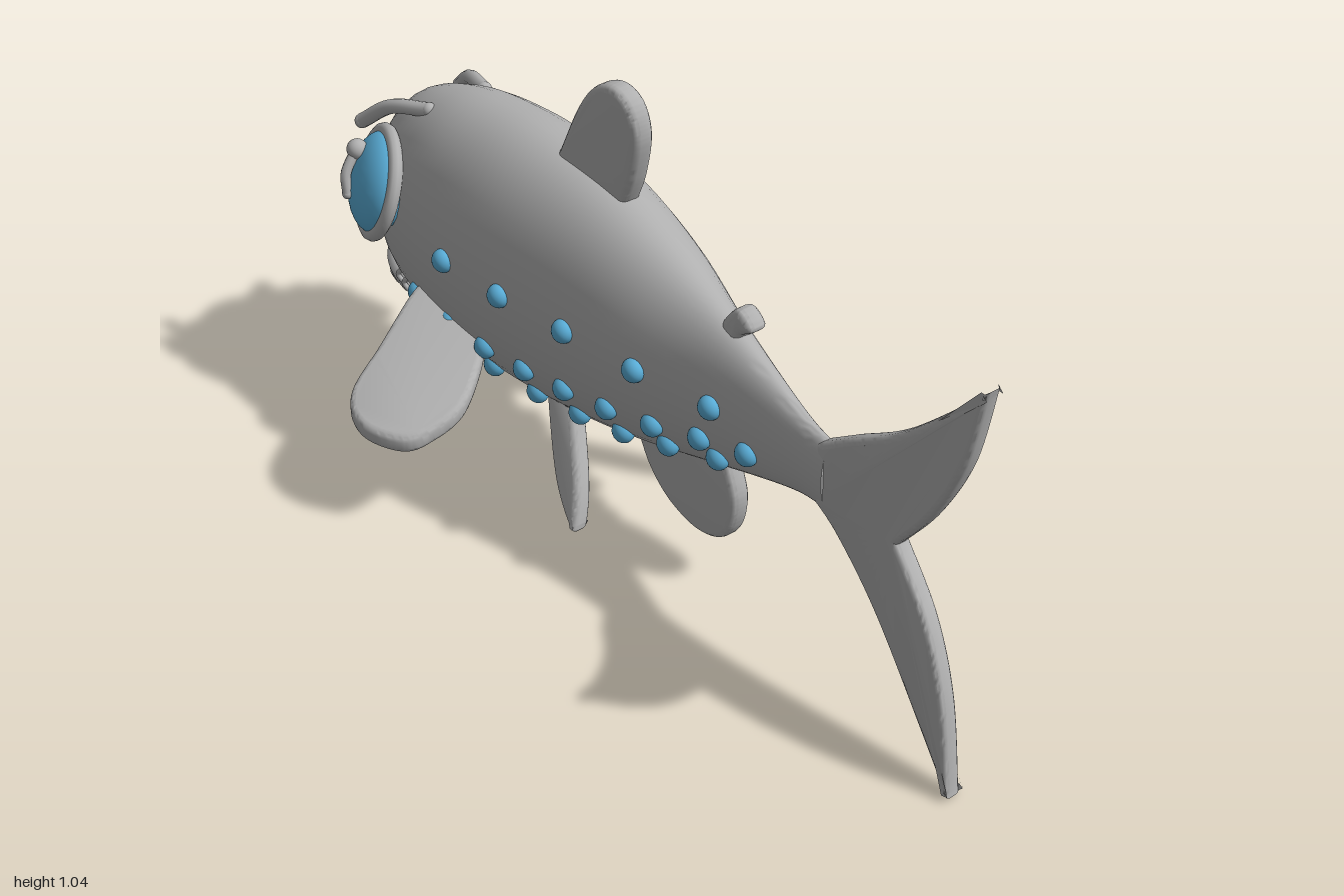
import * as THREE from 'three';
import { toCreasedNormals } from 'three/addons/utils/BufferGeometryUtils.js';

const V = (x, y, z) => new THREE.Vector3(x, y, z);

// Body sections from nose to tail: z, top, bottom, half width, centre x
const sections = [
  [-1, 0.455, 0.445, 0.003, 0], [-0.985, 0.545, 0.39, 0.045, 0], [-0.945, 0.645, 0.30, 0.09, 0],
  [-0.85, 0.742, 0.24, 0.15, 0], [-0.71, 0.797, 0.205, 0.188, 0], [-0.56, 0.82, 0.188, 0.202, 0],
  [-0.4, 0.824, 0.185, 0.2, 0], [-0.2, 0.8, 0.205, 0.178, -0.002], [0, 0.745, 0.25, 0.142, -0.012],
  [0.2, 0.672, 0.308, 0.083, -0.024], [0.36, 0.61, 0.36, 0.05, -0.035], [0.47, 0.572, 0.392, 0.034, -0.044],
  [0.55, 0.56, 0.4, 0.027, -0.052]
];
const heights = new THREE.CatmullRomCurve3(sections.map(s => V(s[0], s[1], s[2])), false, 'catmullrom');
const widths = new THREE.CatmullRomCurve3(sections.map(s => V(s[3], s[4], 0)), false, 'catmullrom');

function sectionAt(t) {
  const a = heights.getPoint(t), b = widths.getPoint(t);
  return { z: a.x, cy: (a.y + a.z) / 2, h: (a.y - a.z) / 2, w: b.x, cx: b.y };
}

// Point on the body's side at a given height and length; s is +1 or -1
function onBody(s, y, z) {
  let lo = 0, hi = 1;
  for (let i = 0; i < 30; i++) {
    const mid = (lo + hi) / 2;
    if (sectionAt(mid).z < z) lo = mid; else hi = mid;
  }
  const q = sectionAt(lo), k = (y - q.cy) / q.h;
  return V(q.cx + s * q.w * Math.sqrt(Math.max(0, 1 - k * k)), y, z);
}

function bodyGeometry() {
  const rows = 60, sides = 40, pos = [], index = [];
  for (let i = 0; i <= rows + 1; i++) {
    const q = sectionAt(Math.min(1, i / rows));
    const f = i > rows ? 0.001 : 1;
    for (let j = 0; j < sides; j++) {
      const a = j / sides * Math.PI * 2;
      pos.push(q.cx + f * q.w * Math.cos(a), q.cy + f * q.h * Math.sin(a), q.z);
    }
  }
  for (let i = 0; i <= rows; i++) for (let j = 0; j < sides; j++) {
    const k = (j + 1) % sides, a = i * sides, b = a + sides;
    index.push(a + j, a + k, b + j, a + k, b + k, b + j);
  }
  const g = new THREE.BufferGeometry();
  g.setAttribute('position', new THREE.Float32BufferAttribute(pos, 3));
  g.setIndex(index);
  return toCreasedNormals(g, 0.9);
}

// Rounded slab from an outline; each vertex (a, b, depth) is placed by the rule
function finGeometry(outline, thick, place) {
  const shape = new THREE.Shape();
  shape.moveTo(...outline[0].slice(0, 2));
  // A third value of 1 marks a straight run to that point; others are splined
  let run = [];
  for (const p of outline.slice(1)) {
    run.push(new THREE.Vector2(p[0], p[1]));
    if (p[2]) { shape.splineThru(run); run = []; }
  }
  if (run.length) shape.splineThru(run);
  const bevel = thick * 0.3;
  const g = new THREE.ExtrudeGeometry(shape, {
    depth: thick - 2 * bevel, steps: 1, curveSegments: 14,
    bevelEnabled: true, bevelThickness: bevel, bevelSize: bevel, bevelOffset: -bevel, bevelSegments: 3
  });
  g.translate(0, 0, -(thick - 2 * bevel) / 2);
  const p = g.attributes.position;
  for (let i = 0; i < p.count; i++) p.setXYZ(i, ...place(p.getX(i), p.getY(i), p.getZ(i)));
  return toCreasedNormals(g, 0.7);
}

export function createModel() {
  const grey = new THREE.MeshStandardMaterial({ color: 0xb0b0b0 });
  grey.name = 'grey';
  const blue = new THREE.MeshStandardMaterial({ color: 0x5aaed8 });
  blue.name = 'blue';
  const model = new THREE.Group();
  model.name = 'fish';

  const add = (name, geometry, material = grey, parent = model) => {
    const mesh = new THREE.Mesh(geometry, material);
    mesh.name = name;
    parent.add(mesh);
    return mesh;
  };
  const ball = (name, at, size, material, parent) => {
    const m = add(name, new THREE.SphereGeometry(1, 20, 14), material, parent);
    m.position.copy(at);
    m.scale.set(...size);
    return m;
  };
  // Tube with round ends
  const rod = (name, points, r) => {
    add(name, new THREE.TubeGeometry(new THREE.CatmullRomCurve3(points), 24, r, 10));
    for (const p of [points[0], points[points.length - 1]]) ball(name + 'End', p, [r, r, r], grey);
  };

  add('body', bodyGeometry());

  // Fins on the centre line, outlined as (z, y)
  add('tailFin', finGeometry([
    [0.52, 0.55], [0.62, 0.62], [0.785, 0.735], [1, 0.942, 1], [0.96, 0.76], [0.88, 0.6], [0.785, 0.475, 1],
    [0.89, 0.36], [0.96, 0.21], [1, 0.008, 1], [0.89, 0.12], [0.73, 0.28], [0.6, 0.375], [0.52, 0.41, 1]
  ], 0.042, (z, y, t) => [-0.05 - (z - 0.53) * (0.13 - 0.07 * (y - 0.475)) - t, y, z]));
  add('dorsalFin', finGeometry([
    [-0.36, 0.78], [-0.33, 0.82], [-0.26, 0.95], [-0.2, 1.025], [-0.14, 1.048], [-0.09, 1.02],
    [-0.072, 0.95], [-0.095, 0.85], [-0.13, 0.77, 1]
  ], 0.052, (z, y, t) => [-0.005 - 0.06 * (y - 0.8) + 0.04 * (z + 0.2) - t, y, z]));
  add('adiposeFin', finGeometry([
    [0.2, 0.62], [0.21, 0.67], [0.255, 0.717], [0.297, 0.685], [0.26, 0.655], [0.25, 0.62, 1]
  ], 0.05, (z, y, t) => [-0.022 - t, y, z]));
  add('analFin', finGeometry([
    [0.22, 0.34], [0.253, 0.25], [0.243, 0.17], [0.205, 0.12], [0.13, 0.1], [0.04, 0.125],
    [-0.025, 0.18], [-0.065, 0.25, 1]
  ], 0.048, (z, y, t) => [-0.021 - t, y, z]));

  // Rows of spots: (z, y)
  const spots = [
    [0.24, 0.5], [0.05, 0.51], [-0.145, 0.52], [-0.34, 0.52], [-0.53, 0.52],
    [0.335, 0.43], [0.205, 0.405], [0.08, 0.38], [-0.045, 0.365], [-0.175, 0.35],
    [-0.3, 0.34], [-0.43, 0.335], [-0.56, 0.335], [-0.69, 0.345],
    [0.24, 0.365], [0.1, 0.33], [-0.04, 0.29], [-0.18, 0.265], [-0.32, 0.25],
    [-0.47, 0.245], [-0.61, 0.25], [-0.75, 0.27]
  ];

  for (const s of [1, -1]) {
    const side = s > 0 ? 'left' : 'right';

    // Paired fins
    add(side + 'PectoralFin', finGeometry([
      [s * 0.14, -0.68], [s * 0.2, -0.668], [s * 0.33, -0.605], [s * 0.45, -0.545], [s * 0.482, -0.46],
      [s * 0.44, -0.365], [s * 0.37, -0.342], [s * 0.29, -0.35], [s * 0.2, -0.41], [s * 0.14, -0.47, 1]
    ], 0.042, (x, z, t) => [x, 0.325 - 0.27 * (Math.abs(x) - 0.2) - 0.2 * (z + 0.54) - t, z]));
    add(side + 'PelvicFin', finGeometry([
      [-0.335, 0.25], [-0.31, 0.2], [-0.22, 0.075], [-0.13, 0.006], [-0.13, 0.045], [-0.165, 0.12],
      [-0.25, 0.25, 1]
    ], 0.042, (z, y, t) => [s * (0.07 + 0.41 * (0.22 - y)) - t, y, z]));

    // Eye facing outward, a little up and forward
    const eye = new THREE.Group();
    eye.name = side + 'Eye';
    eye.position.set(s * 0.162, 0.568, -0.828);
    eye.quaternion.setFromUnitVectors(V(0, 0, 1), V(s * 0.88, 0.3, -0.36).normalize());
    model.add(eye);
    ball('eyeball', V(0, 0, 0), [0.116, 0.116, 0.062], blue, eye);
    add('eyeRim', new THREE.TorusGeometry(0.118, 0.016, 10, 48), grey, eye);

    // Brow, eye knob and hanging stalk
    rod(side + 'Brow', [V(s * 0.075, 0.757, -0.74), V(s * 0.108, 0.735, -0.84), V(s * 0.135, 0.675, -0.92)], 0.017);
    ball(side + 'EyeKnob', V(s * 0.185, 0.642, -0.87), [0.024, 0.024, 0.024], grey);
    rod(side + 'EyeStalk', [V(s * 0.19, 0.64, -0.87), V(s * 0.222, 0.595, -0.865), V(s * 0.228, 0.55, -0.855)], 0.012);

    // Small folds at the mouth corner
    for (const dz of [0, 0.025]) {
      const y = 0.315 - dz * 0.4, p = onBody(s, y, -0.815 + dz);
      rod(side + 'MouthFold', [V(p.x, y + 0.022, p.z + 0.008), V(p.x + s * 0.008, y, p.z - 0.008), V(p.x, y - 0.022, p.z + 0.006)], 0.006);
    }

    // Spots, raised on the flank
    for (const [z, y] of spots) ball(side + 'Spot', onBody(s, y, z), [0.024, 0.027, 0.027], blue);
  }

  // Mouth: lower jaw pad and upper lip
  const jaw = ball('lowerLip', V(0, 0.268, -0.87), [0.105, 0.034, 0.095], grey);
  jaw.rotation.x = 0.2;
  const lip = [];
  for (let i = 0; i <= 8; i++) {
    const a = i / 8 * Math.PI;
    lip.push(V(0.105 * Math.cos(a), 0.288 + 0.028 * Math.sin(a), -0.81 - 0.14 * Math.sin(a)));
  }
  rod('upperLip', lip, 0.021);

  return model;
}
